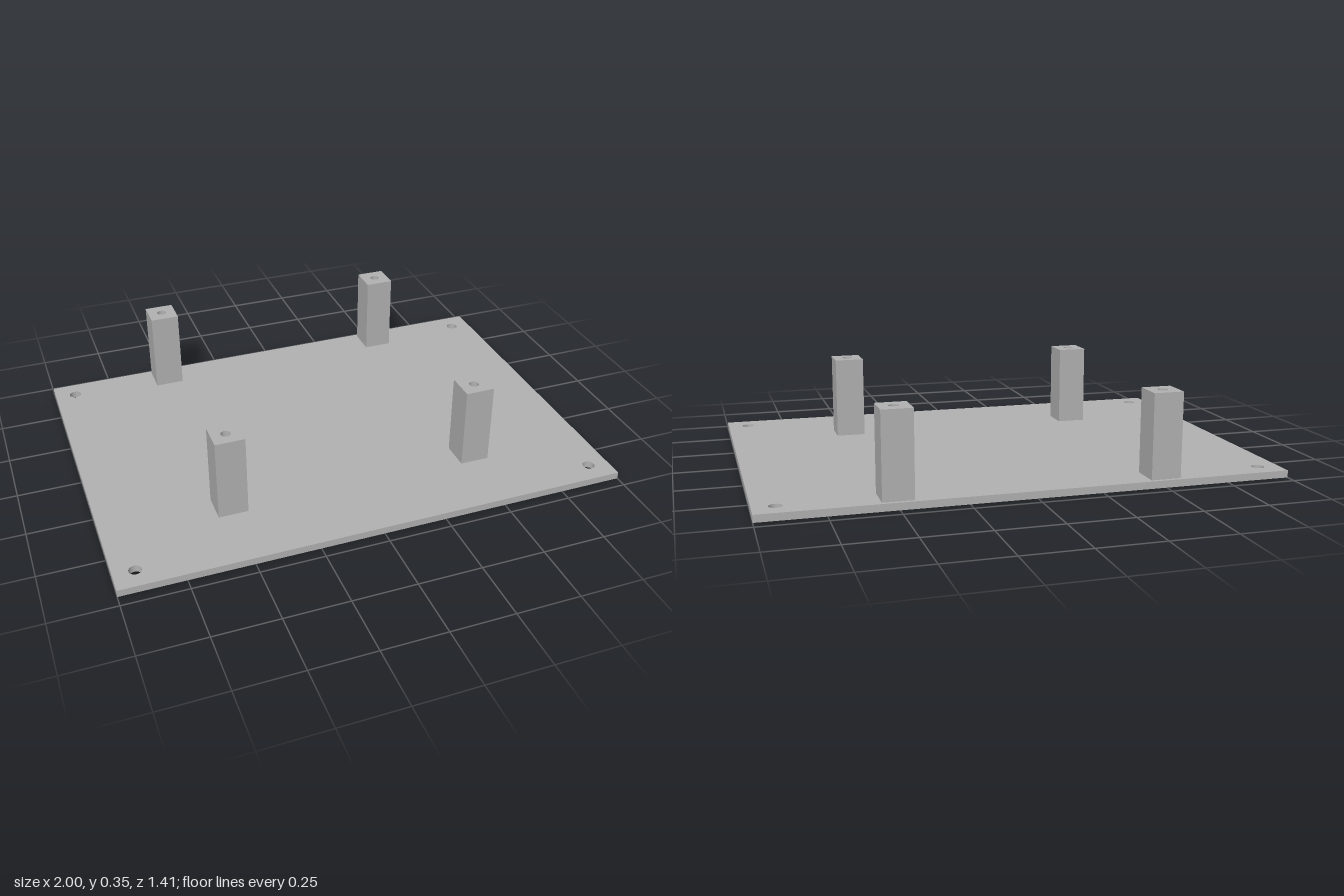
import * as THREE from 'three';

const PLATE_T = 0.028, POST_TOP = 0.355;

// Rectangular block with round vertical holes, standing on its local y = 0.
function drilledBlock(width, depth, height, holes, radius) {
  const w = width / 2, d = depth / 2;
  const shape = new THREE.Shape([
    new THREE.Vector2(-w, -d), new THREE.Vector2(w, -d),
    new THREE.Vector2(w, d), new THREE.Vector2(-w, d),
  ]);
  for (const [x, z] of holes) {
    shape.holes.push(new THREE.Path().absarc(x, -z, radius, 0, Math.PI * 2, true));
  }
  const geometry = new THREE.ExtrudeGeometry(shape, { depth: height, bevelEnabled: false, curveSegments: 32 });
  return geometry.rotateX(-Math.PI / 2);
}

export function createModel() {
  const model = new THREE.Group();
  model.name = 'mountingPlate';
  const grey = new THREE.MeshStandardMaterial({ color: 0xb2b2b2 });
  grey.name = 'plain grey';

  // Base plate with a through hole near each corner
  const corners = [[-0.917, -0.623], [0.917, -0.623], [0.917, 0.619], [-0.917, 0.619]];
  const plate = new THREE.Mesh(drilledBlock(2, 1.408, PLATE_T, corners, 0.024), grey);
  plate.name = 'basePlate';
  model.add(plate);

  // Four square standoffs, each bored from the top down to the plate
  const postGeometry = drilledBlock(0.116, 0.116, POST_TOP - PLATE_T, [[0, 0]], 0.019);
  for (const [zName, z] of [['back', -0.631], ['front', 0.377]]) {
    for (const [xName, x] of [['Left', 0.503], ['Right', -0.503]]) {
      const post = new THREE.Mesh(postGeometry, grey);
      post.name = `${zName}${xName}Standoff`;
      post.position.set(x, PLATE_T, z);
      model.add(post);
    }
  }
  return model;
}
